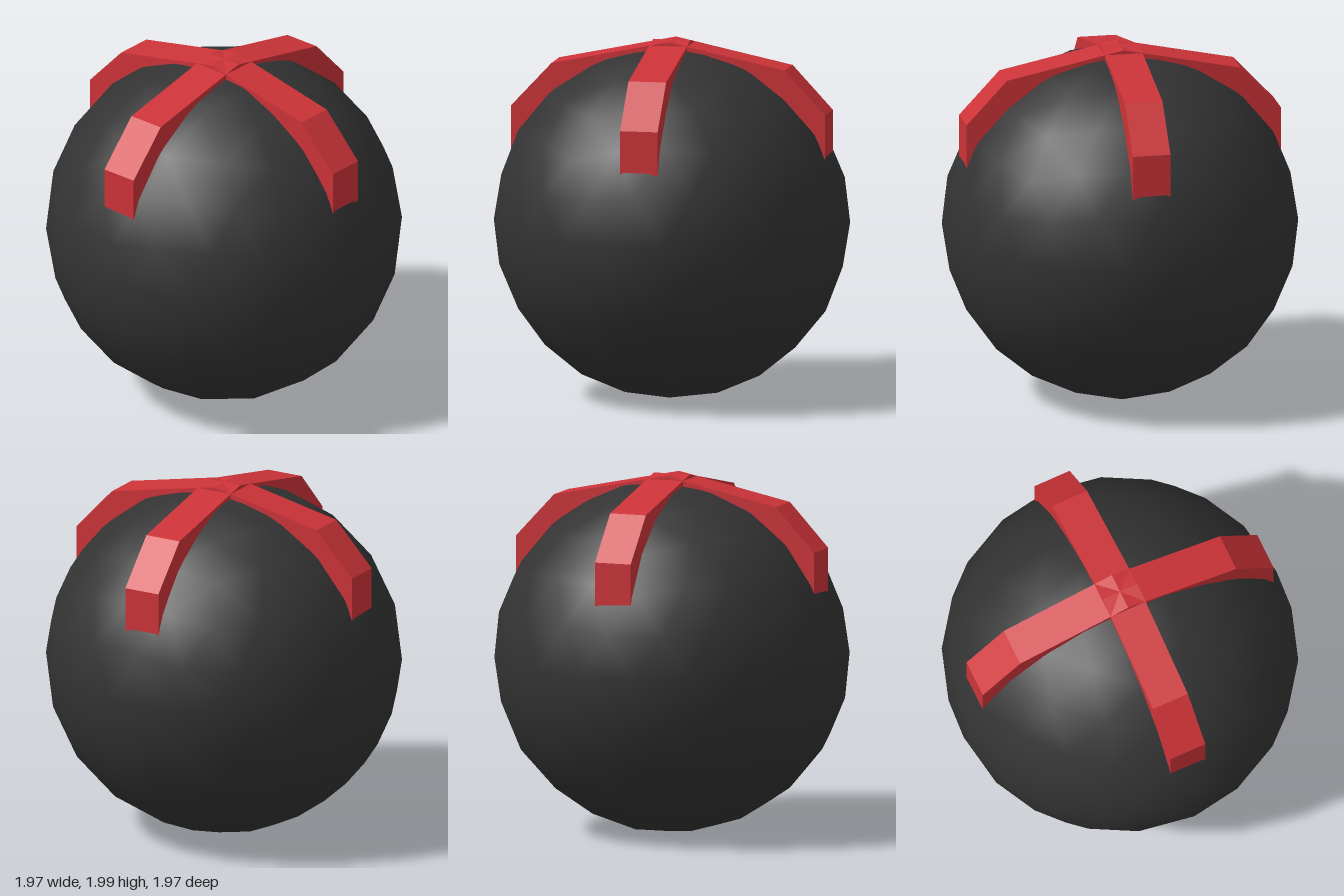
import * as THREE from 'three';
import { mergeVertices } from 'three/addons/utils/BufferGeometryUtils.js';

const RADIUS = 0.983, CENTER_Y = 0.99;

// Icosahedron with vertices at both poles, each face split in four `levels` times
function icosphere(radius, levels) {
  const top = new THREE.Vector3(0, 1, 0), bottom = new THREE.Vector3(0, -1, 0);
  const ring = (y, start) => Array.from({ length: 5 }, (_, i) => {
    const a = start + i * Math.PI * 0.4;
    return new THREE.Vector3(Math.cos(a) * 2, y, -Math.sin(a) * 2).normalize();
  });
  const up = ring(1, 0), low = ring(-1, Math.PI / 5);
  let faces = [];
  for (let i = 0; i < 5; i++) {
    const j = (i + 1) % 5;
    faces.push([top, up[i], up[j]], [up[i], low[i], up[j]],
      [low[i], low[j], up[j]], [bottom, low[j], low[i]]);
  }
  const mid = (a, b) => a.clone().add(b).normalize();
  for (let n = 0; n < levels; n++) {
    faces = faces.flatMap(([a, b, c]) => {
      const ab = mid(a, b), bc = mid(b, c), ca = mid(c, a);
      return [[a, ab, ca], [ab, b, bc], [ca, bc, c], [ab, bc, ca]];
    });
  }
  const points = faces.flat().map((p) => p.clone().multiplyScalar(radius));
  const geometry = mergeVertices(new THREE.BufferGeometry().setFromPoints(points));
  // smooth normals point straight out from the centre
  const normals = geometry.attributes.position.clone();
  for (let i = 0; i < normals.count; i++) {
    const v = new THREE.Vector3().fromBufferAttribute(normals, i).normalize();
    normals.setXYZ(i, v.x, v.y, v.z);
  }
  geometry.setAttribute('normal', normals);
  return geometry;
}

// Angular band over the top of the ball; its underside is sunk into the ball
function strapGeometry() {
  const width = 0.212;
  const half = [[0.657, 1.863], [0.884, 1.62], [0.884, 1.375], [0.8, 1.385], [0.55, 1.7]];
  const mirrored = half.map(([s, y]) => [-s, y]).reverse();
  const outline = [[0, 2], ...half, [0, 1.88], ...mirrored];
  const shape = new THREE.Shape(outline.map(([s, y]) => new THREE.Vector2(s, y)));
  return new THREE.ExtrudeGeometry(shape, { depth: width, bevelEnabled: false })
    .translate(0, 0, -width / 2);
}

export function createModel() {
  const model = new THREE.Group();
  model.name = 'strappedBall';
  const dark = new THREE.MeshStandardMaterial({ color: 0x333333 });
  const red = new THREE.MeshStandardMaterial({ color: 0xcc3338 });

  const ball = new THREE.Mesh(icosphere(RADIUS, 2), dark);
  ball.name = 'ball';
  ball.position.y = CENTER_Y;
  model.add(ball);

  // Two straps crossing at the top
  const geometry = strapGeometry();
  for (const side of [1, -1]) {
    const strap = new THREE.Mesh(geometry, red);
    strap.name = side > 0 ? 'strapA' : 'strapB';
    strap.rotation.y = side * Math.PI / 4;
    model.add(strap);
  }
  return model;
}
